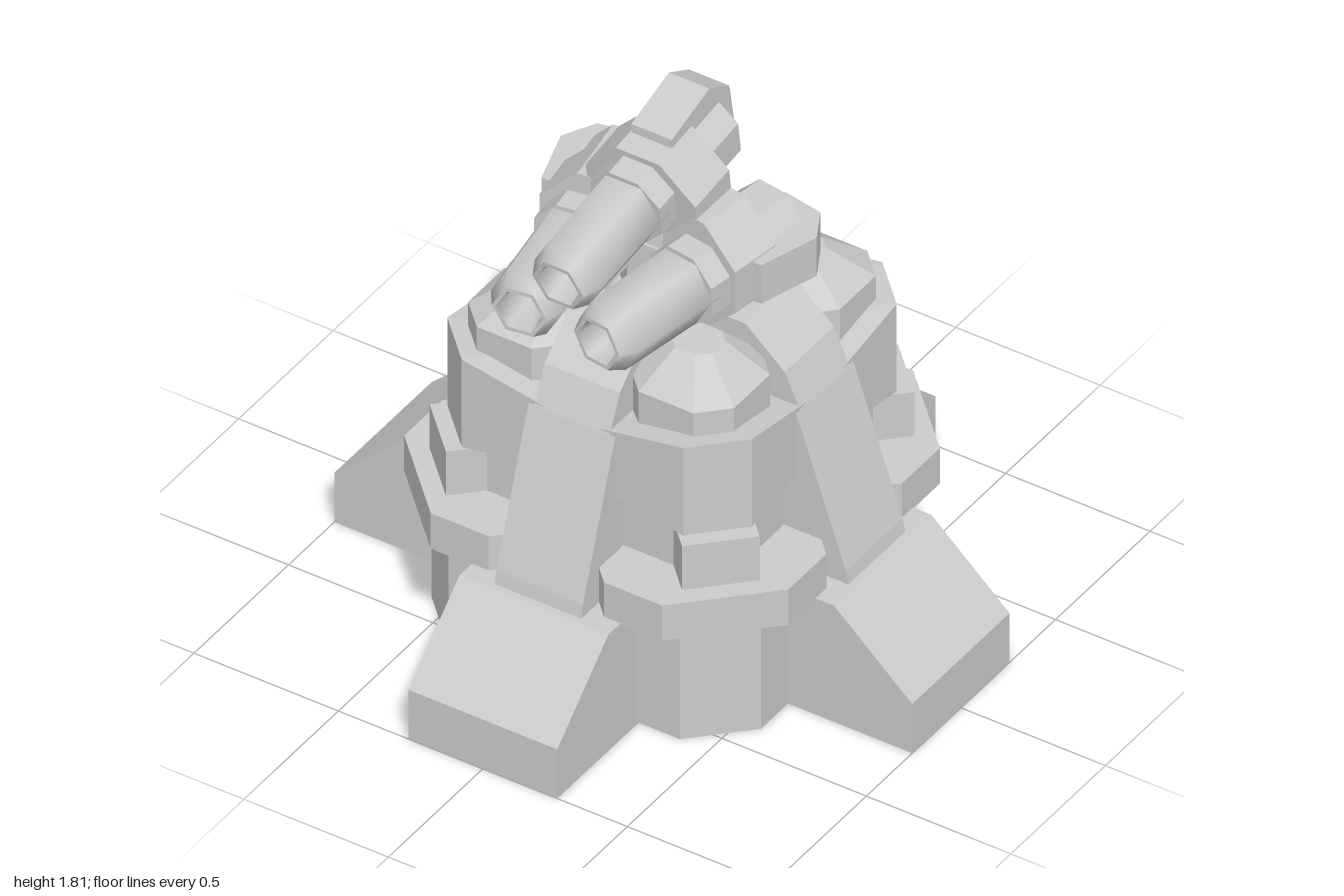
import * as THREE from 'three';
import { toCreasedNormals } from 'three/addons/utils/BufferGeometryUtils.js';
import { ConvexGeometry } from 'three/addons/geometries/ConvexGeometry.js';

const flat = new THREE.MeshStandardMaterial({ color: 0xcccccc, flatShading: true });
const shell = new THREE.MeshStandardMaterial({ color: 0xcccccc, flatShading: true, side: THREE.DoubleSide });
const smooth = new THREE.MeshStandardMaterial({ color: 0xcccccc, side: THREE.DoubleSide });
const TOWER = 0.28;

function add(parent, name, geometry, material = flat) {
  const mesh = new THREE.Mesh(geometry, material);
  mesh.name = name;
  parent.add(mesh);
  return mesh;
}

// Regular octagonal frustum with flats on the axes; sizes are half widths
function octagon(bottom, top, y0, y1) {
  const k = 1 / Math.cos(Math.PI / 8);
  return new THREE.CylinderGeometry(top * k, bottom * k, y1 - y0, 8)
    .rotateY(Math.PI / 8).translate(0, (y0 + y1) / 2, 0);
}

// Outline (x outward, y up) given a width along z
function slab(points, width) {
  const shape = new THREE.Shape(points.map(p => new THREE.Vector2(...p)));
  return new THREE.ExtrudeGeometry(shape, { depth: width, bevelEnabled: false })
    .translate(0, 0, -width / 2);
}

// Corner block with a diagonal face, getting lower towards the buttresses
function pod(corner, outer, y0, y1, inset) {
  const points = [];
  for (const [a, b, cut] of [[corner, outer, 0], [0.1, outer, inset], [0.1, 0.1, inset]]) {
    for (const y of [y0 + cut, y1 - cut]) {
      points.push(new THREE.Vector3(a, y, b), new THREE.Vector3(b, y, a));
    }
  }
  return new ConvexGeometry(points).translate(-TOWER, 0, -TOWER);
}

// Stack of chamfered squares: half width, half flat, height, inward shift
function chamferedStack(levels) {
  const points = [];
  for (const [h, f, y, shift] of levels) {
    for (const sx of [-1, 1]) for (const sz of [-1, 1]) {
      points.push(new THREE.Vector3(sx * h - shift, y, sz * f - shift),
        new THREE.Vector3(sx * f - shift, y, sz * h - shift));
    }
  }
  return new ConvexGeometry(points);
}

// One stacked corner tower
function cornerTower() {
  const g = new THREE.Group();
  g.name = 'cornerTower';
  // Open wall of the three outward faces
  const r = 0.29 / Math.cos(Math.PI / 8);
  add(g, 'towerBase', new THREE.CylinderGeometry(r, r, 0.55, 3, 1, true, -Math.PI / 8, Math.PI * 0.75)
    .translate(0, 0.275, 0), shell);
  // Ledge wrapped around the wall, and the deck closing it
  const ledge = [[-0.13, 0.335], [-0.13, 0.285], [0.118, 0.285], [0.285, 0.118], [0.285, -0.13],
    [0.335, -0.13], [0.385, -0.08], [0.385, 0.12], [0.12, 0.385], [-0.08, 0.385]];
  add(g, 'towerLedge', slab(ledge, 0.13).rotateX(Math.PI / 2).translate(0, 0.485, 0));
  add(g, 'towerDeck', pod(0.398, 0.567, 0.535, 0.549, 0));
  add(g, 'towerWaist', pod(0.36, 0.485, 0.54, 0.72, 0));
  // Box facing out along the diagonal
  add(g, 'cornerBox', new THREE.BoxGeometry(0.23, 0.16, 0.2)
    .translate(0, 0.63, 0.197).rotateY(Math.PI / 4));
  add(g, 'towerBody', pod(0.383, 0.527, 0.71, 1.03, 0.05));
  add(g, 'towerDome', chamferedStack([
    [0.18, 0.095, 0.98, 0], [0.18, 0.095, 1.11, 0], [0.07, 0.035, 1.21, 0.015],
  ]));
  return g;
}

// One gun pointing along +z, with its bracket on the +y side
function gun(name, hexTurn) {
  const g = new THREE.Group();
  g.name = name;
  const profile = [[0.122, 0.2], [0.118, 0.55], [0.088, 0.61], [0.074, 0.61], [0.055, 0.45], [0.001, 0.45]];
  const lathe = new THREE.LatheGeometry(profile.map(p => new THREE.Vector2(...p)), 6, hexTurn)
    .rotateX(Math.PI / 2);
  add(g, 'barrel', toCreasedNormals(lathe, 1.1), smooth);
  add(g, 'barrelSleeve', octagon(0.12, 0.12, 0.155, 0.245).rotateX(Math.PI / 2));
  // Broad housing, widest just below the barrel axis
  const housing = [[0.075, 0.14], [-0.075, 0.14], [-0.19, 0.02], [-0.19, -0.08], [-0.1, -0.14],
    [0.1, -0.14], [0.19, -0.08], [0.19, 0.02]];
  add(g, 'gunHousing', slab(housing, 0.18).translate(0, 0, 0.075));
  add(g, 'gunBreech', octagon(0.13, 0.13, -0.16, 0.01).rotateX(Math.PI / 2));
  const hook = [[0.095, 0.1], [0.085, 0.17], [-0.12, 0.202], [-0.217, 0.13], [-0.222, -0.01], [-0.11, -0.01], [-0.11, 0.1]];
  add(g, 'gunBracket', slab(hook, 0.14).rotateY(-Math.PI / 2));
  return g;
}

export function createModel() {
  const model = new THREE.Group();
  model.name = 'gunTower';

  // Central core and the drum under the guns
  add(model, 'core', octagon(0.42, 0.36, 0.54, 1.03));
  add(model, 'coreRoof', octagon(0.36, 0.17, 1.03, 1.17));
  add(model, 'turretDrum', octagon(0.15, 0.14, 1.15, 1.36));
  add(model, 'turretHub', octagon(0.13, 0.1, 1.36, 1.54));

  // Feet and sloping buttresses on the four sides
  const foot = [[0.52, 0], [1, 0], [1, 0.18], [0.73, 0.425], [0.52, 0.425]];
  const lower = [[0.52, 0.42], [0.71, 0.42], [0.7, 0.47], [0.53, 0.97], [0.3, 0.97], [0.3, 0.55], [0.52, 0.55]];
  const upper = [[0.15, 0.95], [0.535, 0.95], [0.53, 0.97], [0.475, 1.09], [0.34, 1.21], [0.22, 1.21], [0.15, 1.17]];
  for (let i = 0; i < 4; i++) {
    const side = new THREE.Group();
    side.name = 'sideSupport';
    side.rotation.y = i * Math.PI / 2;
    add(side, 'foot', slab(foot, 0.515));
    add(side, 'buttress', slab(lower, 0.3));
    add(side, 'buttressTop', slab(upper, 0.26));
    model.add(side);
  }

  // Corner towers
  for (let i = 0; i < 4; i++) {
    const tower = cornerTower();
    const a = i * Math.PI / 2;
    tower.rotation.y = a;
    tower.position.set(TOWER, 0, TOWER).applyAxisAngle(new THREE.Vector3(0, 1, 0), a);
    model.add(tower);
  }

  // Three converging guns: one above, two mirrored below
  const top = gun('upperGun', Math.PI / 2);
  top.position.set(0, 1.597, 0);
  top.rotation.x = 0.14;
  model.add(top);
  for (const s of [-1, 1]) {
    const low = gun(s > 0 ? 'leftGun' : 'rightGun', 0);
    low.position.set(s * 0.225, 1.357, 0);
    low.rotation.set(0, -s * 0.15, -s * Math.PI / 2);
    model.add(low);
  }
  return model;
}
